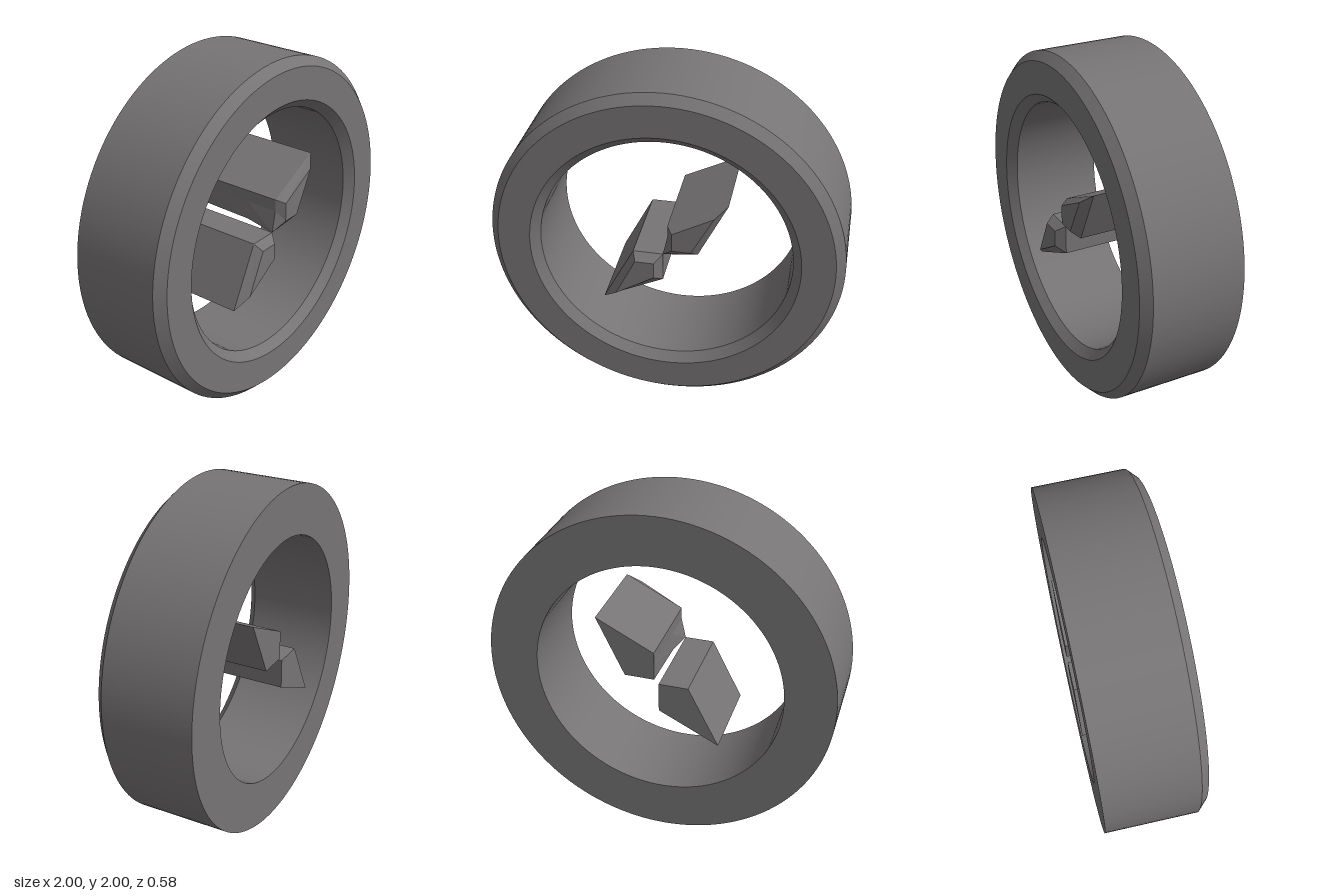
import * as THREE from 'three';
import { toCreasedNormals } from 'three/addons/utils/BufferGeometryUtils.js';

const BACK = -0.29, SHOULDER = 0.24, FRONT = 0.29;

// Skins a stack of matching counter-clockwise outlines [{ z, pts }], with flat caps at both ends
function loft(layers) {
  const n = layers[0].pts.length;
  const pos = [];
  const put = (layer, i) => pos.push(layer.pts[i % n][0], layer.pts[i % n][1], layer.z);
  for (let k = 0; k < layers.length - 1; k++) {
    const a = layers[k], b = layers[k + 1];
    for (let i = 0; i < n; i++) {
      put(a, i); put(a, i + 1); put(b, i + 1);
      put(a, i); put(b, i + 1); put(b, i);
    }
  }
  const first = layers[0], last = layers[layers.length - 1];
  for (let i = 1; i < n - 1; i++) {
    put(first, 0); put(first, i + 1); put(first, i);
    put(last, 0); put(last, i); put(last, i + 1);
  }
  const g = new THREE.BufferGeometry();
  g.setAttribute('position', new THREE.Float32BufferAttribute(pos, 3));
  g.computeVertexNormals();
  return g;
}

export function createModel() {
  const group = new THREE.Group();
  group.name = 'compass';
  const grey = new THREE.MeshStandardMaterial({ color: 0x777475 });
  grey.name = 'warm grey';

  const add = (name, geometry) => {
    const mesh = new THREE.Mesh(geometry, grey);
    mesh.name = name;
    group.add(mesh);
  };

  // Round case, chamfered on both front edges
  const profile = [
    [0.715, BACK], [1, BACK], [1, SHOULDER], [0.95, FRONT],
    [0.765, FRONT], [0.715, SHOULDER], [0.715, BACK],
  ].map(([r, y]) => new THREE.Vector2(r, y));
  const ring = new THREE.LatheGeometry(profile, 128);
  ring.rotateX(Math.PI / 2);
  ring.translate(0, 1, 0);
  add('caseRing', toCreasedNormals(ring, 0.5));

  // Upper needle half: its inner corner flares towards the centre near the front
  const upper = (cx, cy) => [[0.35, 1.36], [0.016, 1.19], [0.016, 1.12], [cx, cy], [0.187, 1.02]];
  add('upperNeedle', loft([
    { z: BACK, pts: upper(0.016, 1.02) },
    { z: 0.05, pts: upper(0.01, 1.015) },
    { z: SHOULDER, pts: upper(-0.01, 0.995) },
    { z: FRONT, pts: [[0.28, 1.3], [0.048, 1.17], [0.048, 1.12], [0.048, 1.06], [0.155, 1.06]] },
  ]));

  // Lower needle half
  const lower = [[-0.358, 0.647], [-0.01, 0.82], [-0.01, 0.995], [-0.18, 0.995]];
  add('lowerNeedle', loft([
    { z: BACK, pts: lower },
    { z: SHOULDER, pts: lower },
    { z: FRONT, pts: [[-0.278, 0.717], [-0.053, 0.86], [-0.053, 0.957], [-0.16, 0.957]] },
  ]));

  return group;
}
